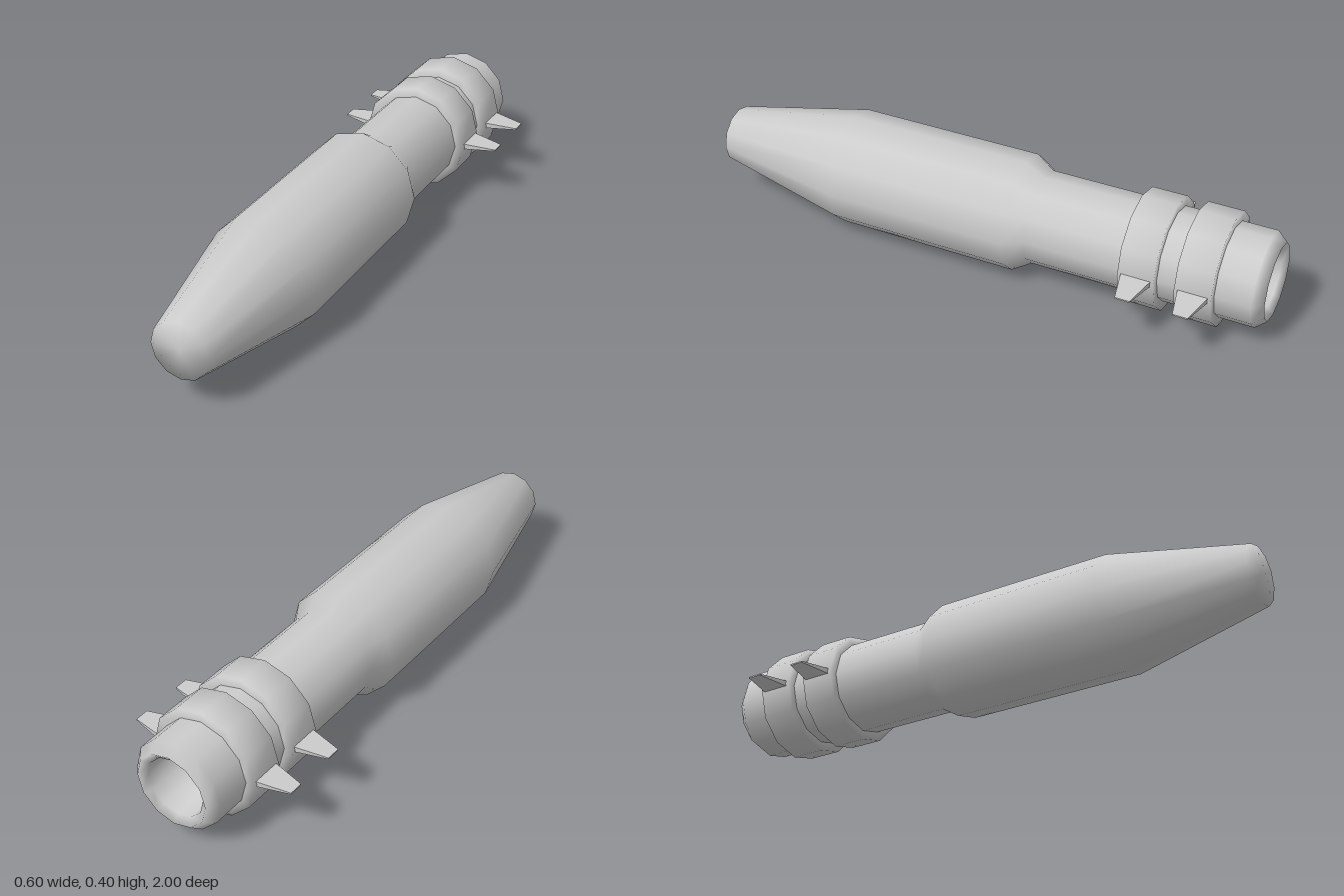
import * as THREE from 'three';

const SIDES = 12;
const AXIS_Y = 0.2;
const material = new THREE.MeshStandardMaterial({ color: 0xcccccc });

// Turned part along z; profile is [radius, z] from back to front
function turned(name, profile) {
  const points = profile.map(([r, z]) => new THREE.Vector2(r, z));
  const geometry = new THREE.LatheGeometry(points, SIDES);
  geometry.rotateX(Math.PI / 2);
  const mesh = new THREE.Mesh(geometry, material);
  mesh.name = name;
  mesh.position.y = AXIS_Y;
  return mesh;
}

// Small lug tapering outwards in both width and thickness
function lug(name, side, z) {
  const inner = 0.17, outer = 0.3;
  const geometry = new THREE.BoxGeometry(outer - inner, 0.022, 0.108);
  const p = geometry.attributes.position;
  for (let i = 0; i < p.count; i++) {
    if (p.getX(i) * side > 0) {
      p.setY(i, p.getY(i) * 0.22);
      p.setZ(i, p.getZ(i) * 0.46);
    }
  }
  geometry.computeVertexNormals();
  const mesh = new THREE.Mesh(geometry, material);
  mesh.name = name;
  mesh.position.set(side * (inner + outer) / 2, AXIS_Y + 0.002, z);
  return mesh;
}

export function createModel() {
  const model = new THREE.Group();
  model.name = 'taperedCylinder';

  // Body with blunt nose, stepped neck and a hollow rear opening
  model.add(turned('body', [
    [0, -0.82], [0.1, -0.86], [0.105, -0.98], [0.13, -1], [0.16, -0.965],
    [0.16, -0.19], [0.2, -0.125], [0.2, 0.52], [0.1, 1], [0, 1],
  ]));

  // Two collars around the neck, each with a lug on both sides
  [['front', -0.595], ['rear', -0.785]].forEach(([place, z]) => {
    model.add(turned(place + 'Collar', [
      [0.15, z - 0.061], [0.192, z - 0.061], [0.192, z + 0.061], [0.15, z + 0.061],
    ]));
    model.add(lug(place + 'LeftLug', 1, z));
    model.add(lug(place + 'RightLug', -1, z));
  });

  return model;
}
